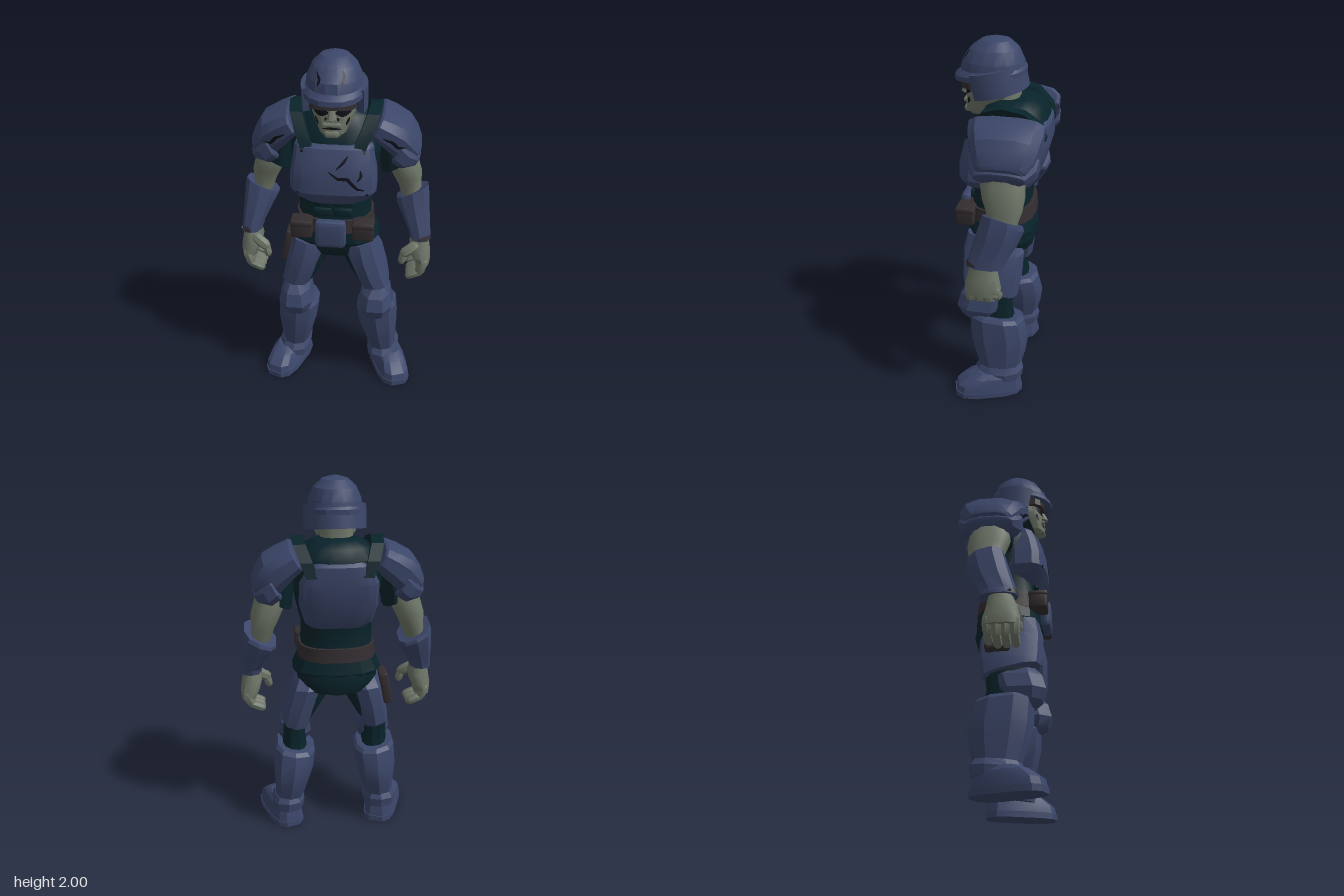
import * as THREE from 'three';
import { toCreasedNormals } from 'three/addons/utils/BufferGeometryUtils.js';
import { RoundedBoxGeometry } from 'three/addons/geometries/RoundedBoxGeometry.js';

const mat = (name, color, side = THREE.FrontSide) => {
  const m = new THREE.MeshStandardMaterial({ color, side });
  m.name = name;
  return m;
};

// Closed skin over horizontal rings, listed top to bottom: [y, x0, x1, z0, z1, tiltX, tiltZ]
function loft(rows, n = 12, p = 0.8) {
  const pos = [], idx = [], pw = v => Math.sign(v) * Math.abs(v) ** p;
  rows.forEach(([y, x0, x1, z0, z1, tx = 0, tz = 0]) => {
    for (let i = 0; i < n; i++) {
      const a = (i + 0.5) / n * Math.PI * 2, u = pw(Math.cos(a)), w = pw(Math.sin(a));
      pos.push((x0 + x1 + (x1 - x0) * u) / 2, y + tx * u + tz * w, (z0 + z1 + (z1 - z0) * w) / 2);
    }
  });
  const last = rows.length - 1, c = rows.length * n;
  for (const r of [rows[0], rows[last]]) pos.push((r[1] + r[2]) / 2, r[0], (r[3] + r[4]) / 2);
  for (let i = 0; i < n; i++) {
    const k = (i + 1) % n;
    for (let j = 0; j < last; j++) {
      const u = j * n, l = u + n;
      idx.push(u + i, u + k, l + k, u + i, l + k, l + i);
    }
    idx.push(c, k, i, c + 1, last * n + i, last * n + k);
  }
  const g = new THREE.BufferGeometry();
  g.setAttribute('position', new THREE.Float32BufferAttribute(pos, 3));
  g.setIndex(idx);
  return g;
}

// Symmetric loft: [y, halfWidth, z0, z1]
const body = (rows, n, p) => loft(rows.map(([y, w, a, b, ...t]) => [y, -w, w, a, b, ...t]), n, p);

// Rounded finger segment between two points
function segment(a, b, r) {
  const A = new THREE.Vector3(...a), B = new THREE.Vector3(...b), d = B.clone().sub(A);
  const q = new THREE.Quaternion().setFromUnitVectors(new THREE.Vector3(0, 1, 0), d.clone().normalize());
  return new THREE.CapsuleGeometry(r, d.length(), 2, 7).applyQuaternion(q).translate(...A.add(B).multiplyScalar(0.5).toArray());
}

export function createModel() {
  const root = new THREE.Group();
  root.name = 'armouredSoldier';
  const blue = mat('armourBlue', 0x3b4669), teal = mat('darkTealCloth', 0x08232a);
  const skin = mat('greySkin', 0x6e7668), brown = mat('brownLeather', 0x332d30, THREE.DoubleSide);
  const dark = mat('darkScratches', 0x0f1017, THREE.DoubleSide);

  // Adds a part; side -1 mirrors it, lean shifts the right leg slightly inward
  function add(name, geo, material, { side = 1, lean = 0, crease = 0.4 } = {}) {
    const g = geo.index ? geo.toNonIndexed() : geo;
    for (const k of Object.keys(g.attributes)) if (k !== 'position') g.deleteAttribute(k);
    g.clearGroups();
    const P = g.attributes.position;
    if (side < 0) {
      for (let i = 0; i < P.count; i += 3) {
        const v = [0, 2, 1].map(k => [-P.getX(i + k), P.getY(i + k), P.getZ(i + k)]);
        v.forEach((q, k) => P.setXYZ(i + k, q[0] + lean * (1 - q[1]), q[1], q[2]));
      }
    }
    const mesh = new THREE.Mesh(toCreasedNormals(g, crease), material);
    mesh.name = name;
    root.add(mesh);
    return mesh;
  }
  const box = (w, h, d, x, y, z, r = 0.012) => new RoundedBoxGeometry(w, h, d, 1, r).translate(x, y, z);

  // Thin tapered mark laid on the front of a part
  const ray = new THREE.Raycaster();
  function mark(name, target, pts, width, { taper = true, material = dark } = {}) {
    const pos = [], idx = [], steps = (pts.length - 1) * 4;
    let z = 0;
    for (let i = 0; i <= steps; i++) {
      const s = Math.min(Math.floor(i / 4), pts.length - 2), f = i / 4 - s, [a, b] = [pts[s], pts[s + 1]];
      const dx = b[0] - a[0], dy = b[1] - a[1], L = Math.hypot(dx, dy);
      const w = width / 2 * (taper ? Math.sin(Math.PI * (0.06 + 0.88 * i / steps)) : 1);
      for (const e of [-w, w]) {
        const x = a[0] + dx * f - dy / L * e, y = a[1] + dy * f + dx / L * e;
        ray.set(new THREE.Vector3(x, y, 1), new THREE.Vector3(0, 0, -1));
        const hit = ray.intersectObject(target)[0];
        if (hit) z = hit.point.z + 0.004;
        pos.push(x, y, z);
      }
      if (i) idx.push(2 * i - 2, 2 * i - 1, 2 * i, 2 * i, 2 * i - 1, 2 * i + 1);
    }
    const g = new THREE.BufferGeometry();
    g.setAttribute('position', new THREE.Float32BufferAttribute(pos, 3));
    g.setIndex(idx);
    add(name, g, material);
  }

  // Torso and clothing
  add('torso', body([[1.70, 0.10, -0.16, 0.05], [1.665, 0.18, -0.21, 0.085], [1.61, 0.215, -0.245, 0.11], [1.53, 0.25, -0.24, 0.14],
    [1.38, 0.23, -0.20, 0.16], [1.23, 0.195, -0.16, 0.15], [1.1, 0.20, -0.16, 0.165], [1.0, 0.225, -0.18, 0.175],
    [0.92, 0.225, -0.195, 0.165], [0.85, 0.17, -0.175, 0.11], [0.81, 0.05, -0.1, 0.05]], 16), teal, { crease: 0.7 });
  add('jacketHem', body([[1.05, 0.215, -0.175, 0.18], [0.97, 0.25, -0.19, 0.185], [0.95, 0.235, -0.185, 0.175]], 14), teal);
  for (const side of [1, -1]) {
    for (const y of [1.215, 1.155]) add('abdomenPad', box(0.1, 0.05, 0.03, 0.055, y, 0.15, 0.012), teal, { side });
    // Shoulder strap arching from chest to back, leaning inward at its ends
    const s = new THREE.Shape([[0.155, 1.52], [0.125, 1.6], [0.06, 1.68], [-0.04, 1.71], [-0.15, 1.685], [-0.235, 1.61], [-0.252, 1.53],
      [-0.1, 1.5]].map(q => new THREE.Vector2(...q)));
    const g = new THREE.ExtrudeGeometry(s, { depth: 0.065, bevelEnabled: false }).rotateY(-Math.PI / 2).translate(0.24, 0, 0);
    const P = g.attributes.position;
    for (let i = 0; i < P.count; i++) P.setX(i, P.getX(i) - (1.7 - P.getY(i)) * 0.4);
    add('shoulderStrap', g, teal, { side });
  }
  const chest = add('chestPlate', body([[1.54, 0.2, -0.02, 0.145], [1.525, 0.208, -0.03, 0.165], [1.46, 0.215, -0.03, 0.195],
    [1.38, 0.228, -0.03, 0.215], [1.29, 0.23, -0.03, 0.218], [1.245, 0.2, -0.03, 0.19], [1.215, 0.15, -0.02, 0.17]], 16, 0.6), blue);
  add('backPlate', body([[1.605, 0.14, -0.24, -0.1], [1.585, 0.165, -0.256, -0.08], [1.49, 0.21, -0.262, -0.04],
    [1.36, 0.21, -0.23, -0.03], [1.26, 0.18, -0.19, -0.02], [1.235, 0.15, -0.175, -0.02]], 16, 0.6), blue);

  // Belt
  add('belt', body([[1.115, 0.21, -0.18, 0.18], [1.04, 0.218, -0.188, 0.187]], 18), brown);
  add('buckle', box(0.165, 0.16, 0.06, -0.008, 1.05, 0.2, 0.022), blue);
  for (const side of [1, -1]) {
    add('beltPouch', box(0.115, 0.1, 0.1, 0.165, 1.07, 0.17), brown, { side });
    add('pouchFlap', box(0.12, 0.035, 0.105, 0.165, 1.105, 0.17), brown, { side });
  }
  add('thighPouch', box(0.05, 0.19, 0.13, 0, 0, 0).rotateZ(-0.18).translate(-0.274, 0.84, -0.04), brown);

  // Head
  add('neck', body([[1.78, 0.085, -0.09, 0.08], [1.68, 0.09, -0.09, 0.07], [1.6, 0.11, -0.1, 0.08]]), skin, { crease: 0.8 });
  const face = add('face', body([[1.85, 0.115, -0.09, 0.19], [1.76, 0.112, -0.07, 0.19], [1.715, 0.112, -0.06, 0.19],
    [1.67, 0.092, -0.02, 0.195], [1.62, 0.07, 0.03, 0.195], [1.598, 0.05, 0.06, 0.175]], 14, 0.75), skin);
  add('nose', body([[1.765, 0.012, 0.16, 0.2], [1.705, 0.024, 0.16, 0.226], [1.695, 0.018, 0.16, 0.205]], 8), skin);
  add('upperLip', box(0.095, 0.022, 0.03, 0, 1.67, 0.19, 0.009), skin);
  add('chin', box(0.075, 0.035, 0.04, 0, 1.62, 0.185, 0.013), skin);
  add('eyewear', body([[1.8, 0.117, 0.05, 0.205], [1.752, 0.118, 0.05, 0.21]], 14, 0.7), brown);
  mark('mouth', face, [[-0.05, 1.65], [0, 1.655], [0.05, 1.65]], 0.012);
  for (const s of [1, -1]) {
    mark('eyeSocket', face, [[s * 0.018, 1.733], [s * 0.055, 1.736], [s * 0.1, 1.742]], 0.045);
    mark('cheekHollow', face, [[s * 0.085, 1.705], [s * 0.07, 1.665]], 0.014);
    mark('nostril', face, [[s * 0.028, 1.71], [s * 0.034, 1.692]], 0.012);
  }

  // Helmet
  const dome = add('helmetDome', body([[2.0, 0.02, 0.01, 0.06], [1.985, 0.07, -0.035, 0.115], [1.945, 0.113, -0.08, 0.17],
    [1.885, 0.14, -0.107, 0.212], [1.82, 0.147, -0.11, 0.225]], 16, 0.95), blue);
  add('helmetBrim', body([[1.85, 0.146, -0.112, 0.222, 0, -0.015], [1.83, 0.157, -0.122, 0.25, 0, -0.02],
    [1.805, 0.157, -0.122, 0.252, 0, -0.02]], 18, 0.9), blue);
  const a0 = Math.PI * 0.86, a1 = Math.PI * 2.14;
  const guard = new THREE.Shape();
  guard.absellipse(0, 0.055, 0.168, 0.18, a0, a1, false);
  guard.absellipse(0, 0.055, 0.135, 0.15, a1, a0, true);
  add('helmetGuard', new THREE.ExtrudeGeometry(guard, { depth: 0.13, bevelEnabled: false, curveSegments: 8 })
    .rotateX(Math.PI / 2 + 0.2).translate(0, 1.86, 0.015), blue);

  // Arms
  for (const side of [1, -1]) {
    const o = { side }, soft = { side, crease: 0.8 };
    // Shoulder armour is lofted outward and slightly down from the neck
    const outward = g => g.rotateZ(1.08).translate(0.22, 1.62, 0);
    const pad = add('shoulderPad', outward(loft([[0.005, -0.07, 0.06, -0.25, 0.12], [-0.005, -0.078, 0.07, -0.262, 0.132],
      [-0.07, -0.10, 0.08, -0.262, 0.125], [-0.155, -0.13, 0.08, -0.25, 0.1], [-0.21, -0.14, 0.05, -0.235, 0.08],
      [-0.26, -0.12, 0.008, -0.2, 0.055], [-0.27, -0.1, -0.01, -0.18, 0.035]], 12, 0.75)), blue, o);
    add('shoulderPadRim', outward(loft([[-0.16, -0.15, 0.015, -0.25, 0.1], [-0.17, -0.16, 0.02, -0.257, 0.107],
      [-0.225, -0.165, -0.005, -0.248, 0.098], [-0.28, -0.12, -0.035, -0.2, 0.06], [-0.285, -0.1, -0.05, -0.18, 0.04]], 12, 0.75)), blue, o);
    mark('padScratch', pad, [[0.25, 1.58], [0.3, 1.555], [0.33, 1.52], [0.37, 1.52]].map(q => [q[0] * side, q[1]]), 0.018);
    add('sleeve', loft([[1.52, 0.22, 0.38, -0.17, 0.06], [1.37, 0.245, 0.40, -0.17, 0.045, 0.04]]), teal, o);
    add('upperArm', loft([[1.46, 0.26, 0.42, -0.17, 0.02], [1.37, 0.275, 0.445, -0.185, 0.04], [1.30, 0.305, 0.465, -0.19, 0.025],
      [1.23, 0.34, 0.465, -0.18, 0], [1.14, 0.37, 0.48, -0.15, 0.01]]), skin, soft);
    const bracer = add('bracer', loft([[1.19, 0.33, 0.505, -0.19, 0.02, 0.045, 0.025], [1.165, 0.332, 0.512, -0.195, 0.028, 0.04, 0.02],
      [1.08, 0.365, 0.522, -0.165, 0.055, 0.01, 0.01], [0.985, 0.41, 0.53, -0.115, 0.085], [0.955, 0.415, 0.535, -0.11, 0.092]], 10), blue, o);
    mark('bracerWear', bracer, [[0.465, 0.968], [0.5, 0.972], [0.53, 0.968]].map(q => [q[0] * side, q[1]]), 0.03, { material: brown });
    // Hand with curled fingers and thumb
    add('palm', loft([[0.97, 0.43, 0.52, -0.06, 0.06], [0.90, 0.415, 0.53, -0.075, 0.085], [0.84, 0.43, 0.54, -0.09, 0.1],
      [0.79, 0.455, 0.535, -0.09, 0.095]], 10), skin, soft);
    for (let k = 0; k < 4; k++) {
      const z = 0.072 - k * 0.045, d = k === 3 ? 0.02 : 0;
      add('finger', segment([0.5, 0.82, z], [0.483, 0.755 + d, z], 0.028), skin, soft);
      add('fingerTip', segment([0.48, 0.748 + d, z], [0.425, 0.722 + d, z], 0.024), skin, soft);
    }
    add('thumb', segment([0.445, 0.91, 0.06], [0.395, 0.875, 0.075], 0.031), skin, soft);
    add('thumbTip', segment([0.39, 0.87, 0.075], [0.38, 0.825, 0.08], 0.023), skin, soft);
  }

  // Legs
  for (const side of [1, -1]) {
    const o = { side, lean: 0.045 };
    add('thighCloth', loft([[0.93, 0.02, 0.2, -0.13, 0.12], [0.8, 0.055, 0.24, -0.13, 0.13], [0.66, 0.14, 0.29, -0.11, 0.13]]), teal, o);
    add('thighPlate', loft([[0.935, 0.06, 0.23, -0.1, 0.17, 0.02, 0.02], [0.86, 0.07, 0.265, -0.15, 0.192],
      [0.74, 0.117, 0.297, -0.147, 0.187], [0.65, 0.155, 0.315, -0.128, 0.18, 0.01, 0.03], [0.63, 0.175, 0.3, -0.1, 0.15, 0.01, 0.03]],
      10, 0.7), blue, o);
    add('kneeCloth', loft([[0.66, 0.175, 0.305, -0.11, 0.13], [0.55, 0.18, 0.31, -0.1, 0.1], [0.44, 0.17, 0.32, -0.12, 0.1]]), teal, o);
    add('kneeGuard', loft([[0.655, 0.195, 0.29, 0, 0.155], [0.615, 0.155, 0.325, -0.085, 0.195], [0.54, 0.14, 0.342, -0.06, 0.215],
      [0.485, 0.16, 0.325, -0.01, 0.19], [0.45, 0.19, 0.29, 0.03, 0.15]], 8, 0.8), blue, o);
    add('bootShaft', loft([[0.49, 0.14, 0.345, -0.15, 0.125, 0.015, 0.01], [0.47, 0.125, 0.36, -0.17, 0.145, 0.015, 0.01],
      [0.36, 0.138, 0.372, -0.197, 0.14], [0.26, 0.17, 0.368, -0.185, 0.115], [0.14, 0.21, 0.365, -0.15, 0.075]], 10), blue, o);
    add('ankleCuff', loft([[0.175, 0.205, 0.37, -0.16, 0.082, 0, -0.01], [0.14, 0.193, 0.388, -0.178, 0.105, 0, -0.015],
      [0.09, 0.2, 0.385, -0.17, 0.105, 0, -0.01]], 10), blue, o);
    const turn = g => g.rotateY(0.35).translate(0.33, 0, 0.012);
    add('foot', turn(body([[0.14, 0.06, -0.15, 0.07], [0.115, 0.08, -0.17, 0.13], [0.07, 0.09, -0.18, 0.19],
      [0.03, 0.094, -0.185, 0.2]], 12, 0.65)), blue, o);
    add('sole', turn(body([[0.032, 0.097, -0.19, 0.205], [0, 0.097, -0.19, 0.205]], 12, 0.65)), blue, o);
  }

  // Battle scratches and rivets
  mark('chestScratch', chest, [[-0.02, 1.42], [0.03, 1.385], [0.08, 1.385], [0.13, 1.33], [0.17, 1.32]], 0.018);
  mark('chestScratch', chest, [[0.02, 1.43], [0.06, 1.47], [0.08, 1.5]], 0.014);
  mark('chestScratch', chest, [[0.13, 1.37], [0.15, 1.4], [0.145, 1.43]], 0.014);
  mark('helmetScratch', dome, [[-0.07, 1.87], [-0.06, 1.9], [-0.075, 1.93]], 0.014);
  mark('helmetScratch', dome, [[0.05, 1.88], [0.06, 1.915], [0.05, 1.94]], 0.014);
  for (const s of [1, -1]) for (const [x, y] of [[0.16, 1.51], [0.18, 1.29]])
    mark('rivet', chest, [[s * x - 0.006, y], [s * x + 0.006, y]], 0.012, { taper: false });
  return root;
}
